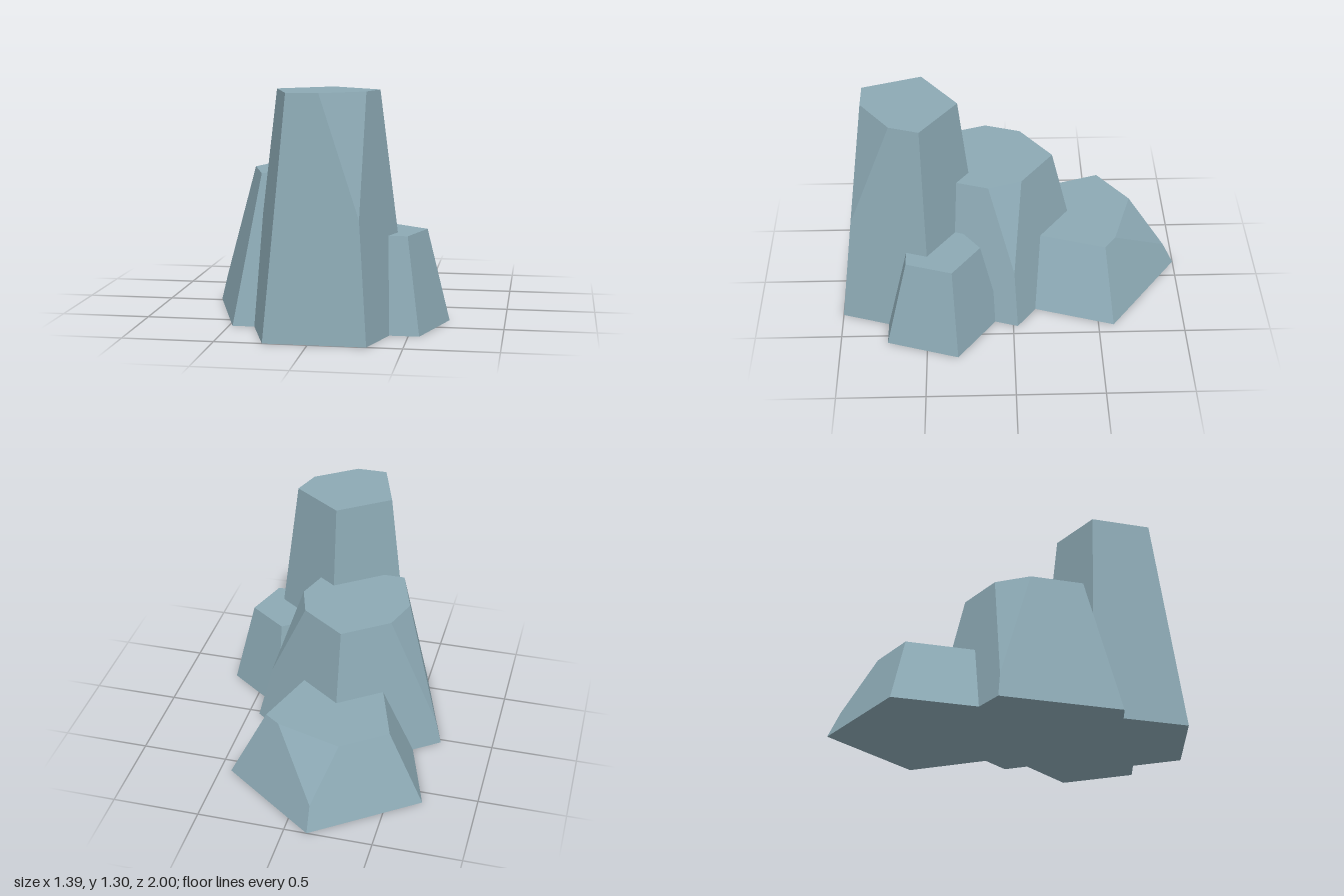
import * as THREE from 'three';
import { ConvexGeometry } from 'three/addons/geometries/ConvexGeometry.js';

// Corner k of a pentagon: 0 back, 1 left (+x), 2 front left, 3 front right, 4 right (-x)
function corner(k, x, y, z, r) {
  const a = (k * Math.PI * 2) / 5;
  return new THREE.Vector3(x + r * Math.sin(a), y, z - r * Math.cos(a));
}

// Tapered five-sided column; each chip slices off one top corner,
// given as fractions along the two top edges and a height fraction on the side edge.
function columnGeometry({ x, height, base, top, chips }) {
  const low = [], high = [], points = [];
  for (let k = 0; k < 5; k++) {
    low.push(corner(k, x, 0, base.z, base.r));
    high.push(corner(k, x, height, top.z, top.r));
  }
  for (let k = 0; k < 5; k++) {
    points.push(low[k]);
    const chip = chips[k];
    if (!chip) {
      points.push(high[k]);
      continue;
    }
    points.push(
      high[k].clone().lerp(high[(k + 4) % 5], chip.prev),
      high[k].clone().lerp(high[(k + 1) % 5], chip.next),
      low[k].clone().lerp(high[k], chip.level)
    );
  }
  return new ConvexGeometry(points);
}

export function createModel() {
  const group = new THREE.Group();
  group.name = 'rockColumns';
  const stone = new THREE.MeshStandardMaterial({ color: 0x8ca9b4, flatShading: true });
  stone.name = 'blueGreyStone';

  const columns = [
    { name: 'tallFrontColumn', x: 0.035, height: 1.3,
      base: { z: 0.622, r: 0.468 }, top: { z: 0.6, r: 0.298 },
      chips: { 2: { prev: 0.5, next: 0.5, level: 0.5 } } },
    { name: 'middleColumn', x: -0.13, height: 0.825,
      base: { z: 0.158, r: 0.595 }, top: { z: 0.136, r: 0.376 },
      chips: { 1: { prev: 0.28, next: 0.28, level: 0.4 }, 4: { prev: 0.3, next: 0.3, level: 0.17 } } },
    { name: 'lowBackColumn', x: -0.13, height: 0.413,
      base: { z: -0.405, r: 0.595 }, top: { z: -0.424, r: 0.376 },
      chips: { 0: { prev: 0.31, next: 0.75, level: 0.34 } } },
    { name: 'smallSideColumn', x: 0.345, height: 0.52,
      base: { z: 0.435, r: 0.364 }, top: { z: 0.42, r: 0.232 },
      chips: {} },
  ];

  for (const spec of columns) {
    const mesh = new THREE.Mesh(columnGeometry(spec), stone);
    mesh.name = spec.name;
    group.add(mesh);
  }
  return group;
}
